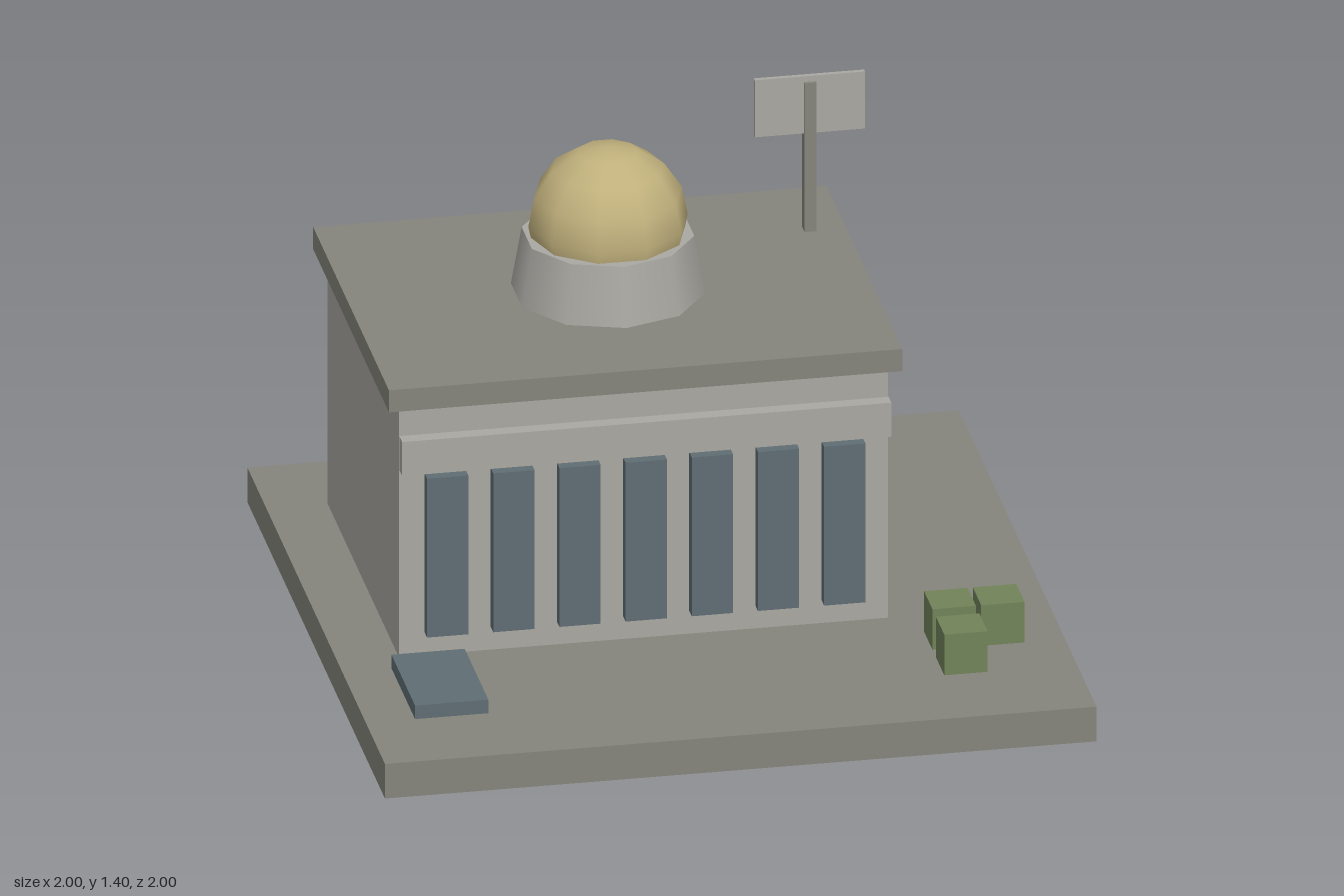
import * as THREE from 'three';

const paint = (name, color) => {
  const m = new THREE.MeshStandardMaterial({ color });
  m.name = name;
  return m;
};

export function createModel() {
  const model = new THREE.Group();
  model.name = 'domedBuilding';

  const darkStone = paint('darkStone', 0x85857c);
  const paleStone = paint('paleStone', 0xaaa8a2);
  const slate = paint('slateBlue', 0x5f6d73);
  const gold = paint('sandGold', 0xc0b07c);
  const green = paint('hedgeGreen', 0x718259);

  const add = (name, geometry, material, x, y, z) => {
    const mesh = new THREE.Mesh(geometry, material);
    mesh.name = name;
    mesh.position.set(x, y, z);
    model.add(mesh);
    return mesh;
  };
  // Box given by its limits on each axis
  const box = (name, material, [x0, x1], [y0, y1], [z0, z1]) =>
    add(name, new THREE.BoxGeometry(x1 - x0, y1 - y0, z1 - z0), material,
      (x0 + x1) / 2, (y0 + y1) / 2, (z0 + z1) / 2);

  // Plinth, hall and overhanging roof
  const ground = 0.105, roofTop = 0.932;
  box('plinth', darkStone, [-1, 1], [0, ground], [-1, 1]);
  box('hall', paleStone, [-0.828, 0.547], [ground, 0.865], [-0.724, 0.311]);
  box('roof', darkStone, [-0.862, 0.581], [0.865, roofTop], [-0.757, 0.344]);

  // Front band and row of tall windows
  box('frontBand', paleStone, [-0.828, 0.547], [0.676, 0.779], [0.319, 0.36]);
  for (let i = 0; i < 7; i++) {
    const x = -0.14 + (i - 3) * 0.186;
    box('window', slate, [x - 0.058, x + 0.058], [0.175, 0.657], [0.311, 0.35]);
  }

  // Ten-sided tapering drum and its dome
  const domeX = -0.14, domeZ = -0.207;
  add('domeDrum', new THREE.CylinderGeometry(0.24, 0.27, 0.172, 10), paleStone,
    domeX, roofTop + 0.086, domeZ);
  add('dome', new THREE.SphereGeometry(0.224, 10, 8), gold, domeX, 1.138, domeZ);

  // Rooftop sign on a post
  box('signPost', darkStone, [0.463, 0.497], [roofTop, 1.383], [-0.502, -0.468]);
  box('signBoard', paleStone, [0.325, 0.635], [1.227, 1.4], [-0.492, -0.478]);

  // Low slab and hedge cubes in the forecourt
  box('lowSlab', slate, [-0.862, -0.656], [ground, 0.146], [0.38, 0.724]);
  for (const [x, z] of [[0.688, 0.483], [0.825, 0.483], [0.688, 0.655]]) {
    box('hedge', green, [x - 0.061, x + 0.061], [ground, 0.228], [z - 0.061, z + 0.061]);
  }

  return model;
}
